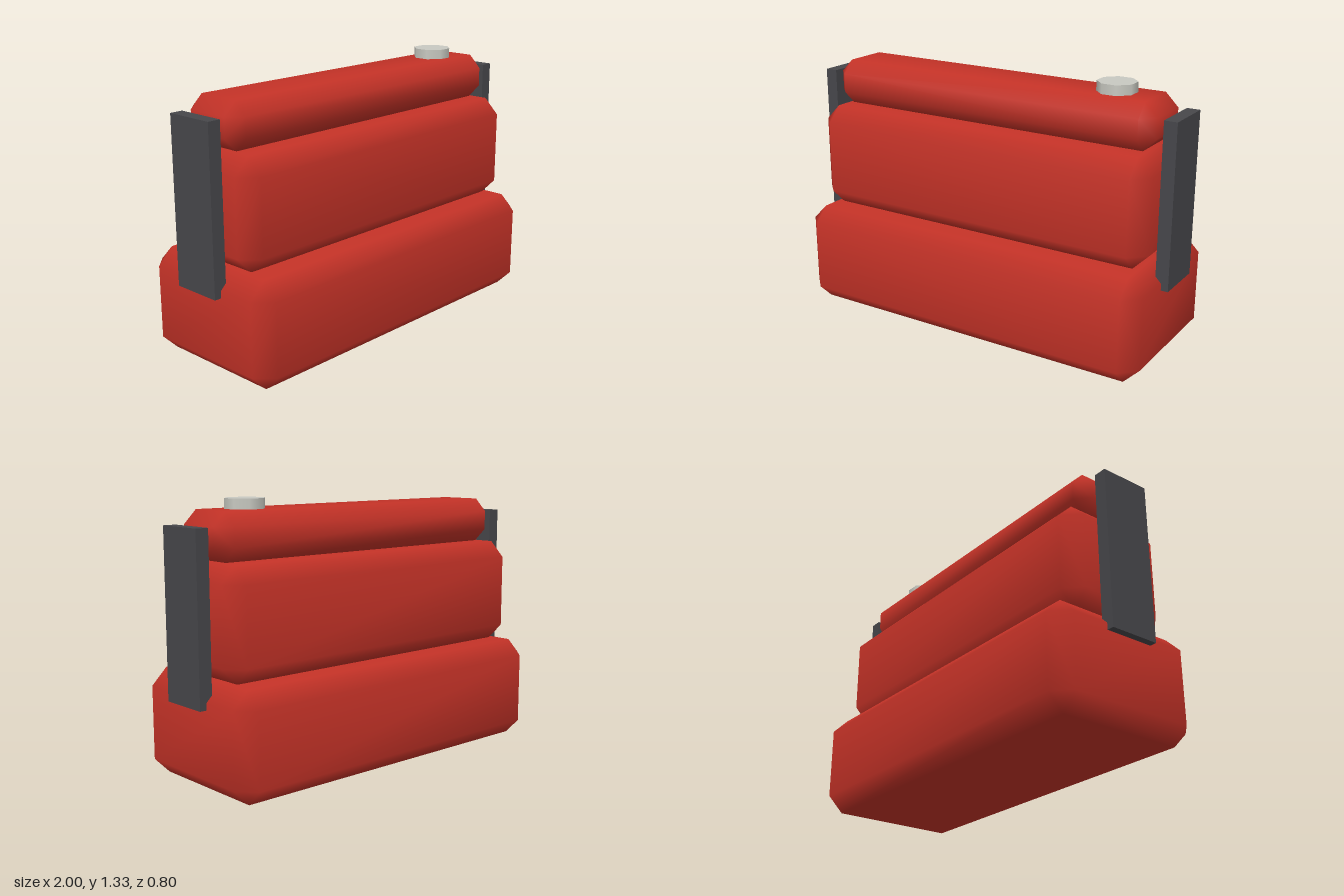
import * as THREE from 'three';
import { mergeVertices } from 'three/addons/utils/BufferGeometryUtils.js';
import { ConvexGeometry } from 'three/addons/geometries/ConvexGeometry.js';

// Box with every edge cut at 45 degrees, shaded smoothly across the cuts
function chamferedBox(width, height, depth, cut) {
  const half = [width / 2, height / 2, depth / 2];
  const points = [];
  for (const sx of [-1, 1]) for (const sy of [-1, 1]) for (const sz of [-1, 1]) {
    const sign = [sx, sy, sz];
    for (let axis = 0; axis < 3; axis++) {
      const p = half.map((h, i) => sign[i] * (i === axis ? h : h - cut));
      points.push(new THREE.Vector3(...p));
    }
  }
  const hull = new ConvexGeometry(points);
  hull.deleteAttribute('normal');
  const geometry = mergeVertices(hull, 1e-4);
  geometry.computeVertexNormals();
  return geometry;
}

export function createModel() {
  const group = new THREE.Group();
  const red = new THREE.MeshStandardMaterial({ color: 0xc43227 });
  red.name = 'red';
  const darkGrey = new THREE.MeshStandardMaterial({ color: 0x47474b });
  darkGrey.name = 'dark grey';
  const paleGrey = new THREE.MeshStandardMaterial({ color: 0xc8c9c1 });
  paleGrey.name = 'pale grey';

  function add(name, geometry, material, x, y, z) {
    const mesh = new THREE.Mesh(geometry, material);
    mesh.name = name;
    mesh.position.set(x, y, z);
    group.add(mesh);
  }

  // Three stacked body sections: name, width, bottom, top, depth, edge cut
  const sections = [
    ['lowerBody', 1.93, 0, 0.52, 0.804, 0.08],
    ['middleBody', 1.87, 0.52, 1.05, 0.58, 0.08],
    ['upperBody', 1.80, 1.05, 1.277, 0.354, 0.065],
  ];
  for (const [name, width, bottom, top, depth, cut] of sections) {
    add(name, chamferedBox(width, top - bottom, depth, cut), red, 0, (bottom + top) / 2, 0);
  }

  // Upright plates on both ends
  for (const side of [-1, 1]) {
    add(side > 0 ? 'leftEndPlate' : 'rightEndPlate',
      new THREE.BoxGeometry(0.065, 0.805, 0.256), darkGrey, side * 0.9675, 0.8085, 0);
  }

  // Eight-sided filler cap
  const cap = new THREE.CylinderGeometry(0.096, 0.096, 0.05, 8);
  cap.rotateY(Math.PI / 8);
  add('fillerCap', cap, paleGrey, 0.643, 1.301, 0);

  return group;
}
